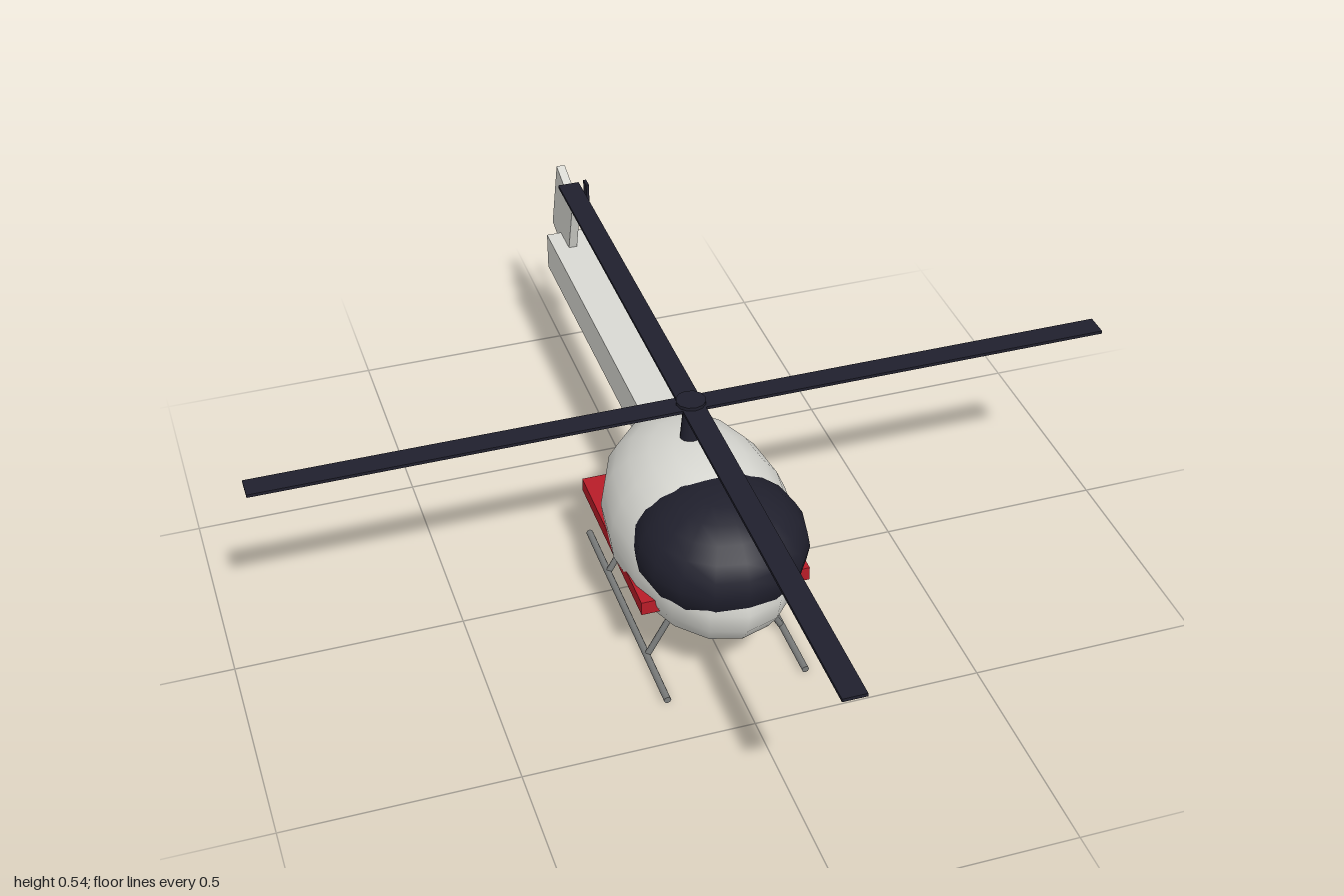
import * as THREE from 'three';

const material = (name, color) => {
  const m = new THREE.MeshStandardMaterial({ color });
  m.name = name;
  return m;
};

export function createModel() {
  const model = new THREE.Group();
  model.name = 'helicopter';
  const pale = material('pale grey', 0xd9d9d3);
  const dark = material('dark navy', 0x20202d);
  const red = material('red', 0xb81c28);
  const steel = material('steel grey', 0x7a7c7b);

  const add = (name, geometry, mat, x, y, z, parent = model) => {
    const mesh = new THREE.Mesh(geometry, mat);
    mesh.name = name;
    mesh.position.set(x, y, z);
    parent.add(mesh);
    return mesh;
  };
  const box = (w, h, d) => new THREE.BoxGeometry(w, h, d);
  const ellipsoid = (rx, ry, rz) => new THREE.SphereGeometry(1, 16, 12).scale(rx, ry, rz);
  const rod = (name, from, to, radius, parent) => {
    const a = new THREE.Vector3(...from), b = new THREE.Vector3(...to);
    const mid = a.clone().add(b).multiplyScalar(0.5);
    const mesh = add(name, new THREE.CylinderGeometry(radius, radius, a.distanceTo(b), 8),
      steel, mid.x, mid.y, mid.z, parent);
    mesh.quaternion.setFromUnitVectors(new THREE.Vector3(0, 1, 0), b.sub(a).normalize());
  };

  // Cabin with a dark canopy bulging out of the upper nose
  add('cabin', ellipsoid(0.198, 0.19, 0.322), pale, 0, 0.254, 0.13);
  add('canopy', ellipsoid(0.184, 0.132, 0.184), dark, 0, 0.31, 0.27);

  // Side trim shows where it stands clear of the cabin
  add('sideTrim', box(0.37, 0.032, 0.44), red, 0, 0.205, 0.087);

  // Tail boom and raked fin
  add('tailBoom', box(0.09, 0.09, 0.765), pale, 0, 0.317, -0.533);
  add('tailFin', box(0.02, 0.197, 0.138), pale, 0, 0.423, -0.896).rotation.x = 0.3;

  // Tail rotor on the left side
  const tailRotor = new THREE.Group();
  tailRotor.name = 'tailRotor';
  tailRotor.position.set(0.053, 0.4, -0.9);
  model.add(tailRotor);
  add('tailBladeUpright', box(0.007, 0.2, 0.026), dark, 0, 0, 0, tailRotor);
  add('tailBladeLevel', box(0.008, 0.02, 0.2), dark, 0, 0, 0, tailRotor);
  add('tailAxle', new THREE.CylinderGeometry(0.008, 0.008, 0.05, 8), dark, -0.025, 0, 0, tailRotor)
    .rotation.z = Math.PI / 2;

  // Main rotor: tapered mast, hub and two crossed blades
  const mainRotor = new THREE.Group();
  mainRotor.name = 'mainRotor';
  mainRotor.position.set(0, 0, 0.0675);
  model.add(mainRotor);
  add('mast', new THREE.CylinderGeometry(0.016, 0.025, 0.1, 12), dark, 0, 0.468, 0, mainRotor);
  add('hub', new THREE.CylinderGeometry(0.032, 0.032, 0.018, 12), dark, 0, 0.524, 0, mainRotor);
  add('bladeAcross', box(1.86, 0.007, 0.05), dark, 0, 0.522, 0, mainRotor);
  add('bladeAlong', box(0.05, 0.0072, 1.865), dark, 0, 0.522, 0, mainRotor);

  // Landing skids with two splayed struts each
  for (const side of [1, -1]) {
    const skid = new THREE.Group();
    skid.name = side > 0 ? 'leftSkid' : 'rightSkid';
    model.add(skid);
    rod('runner', [side * 0.154, 0.009, 0.385], [side * 0.154, 0.009, -0.2], 0.008, skid);
    for (const z of [0.237, -0.053]) {
      rod('strut', [side * 0.08, 0.14, z], [side * 0.152, 0.011, z], 0.007, skid);
    }
  }
  return model;
}
